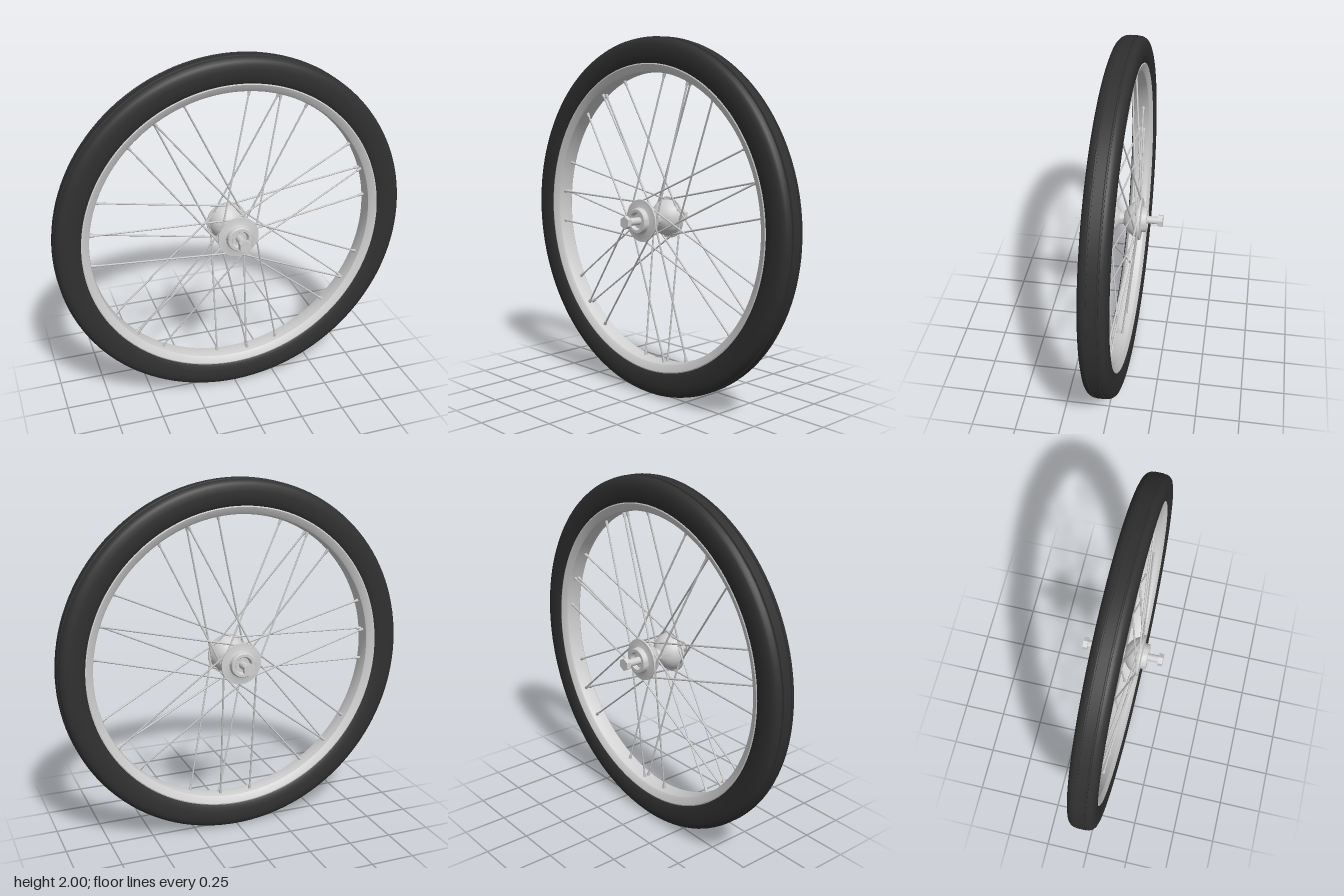
import * as THREE from 'three';
import { toCreasedNormals } from 'three/addons/utils/BufferGeometryUtils.js';

const mat = (name, color) => {
  const m = new THREE.MeshStandardMaterial({ color });
  m.name = name;
  return m;
};

// Spin [radius, z] points (counter-clockwise) around the z axis.
function spin(points, segments) {
  const geo = new THREE.LatheGeometry(points.map(([r, z]) => new THREE.Vector2(r, z)), segments);
  geo.rotateX(Math.PI / 2);
  return toCreasedNormals(geo, 0.6);
}

// Complete a profile, given for z >= 0 from outside to inside, with its mirror half.
const mirrored = (half) => [...half.map(([r, z]) => [r, -z]).reverse(), ...half];

export function createModel() {
  const rubber = mat('black rubber', 0x303030);
  const alloy = mat('light alloy', 0xd0d0d0);
  const steel = mat('spoke steel', 0xc8c8c8);

  const root = new THREE.Group();
  root.name = 'spokedWheel';
  const wheel = new THREE.Group();
  wheel.name = 'wheel';
  wheel.position.y = 1;
  root.add(wheel);
  const add = (name, geo, material, parent = wheel) => {
    const mesh = new THREE.Mesh(geo, material);
    mesh.name = name;
    parent.add(mesh);
    return mesh;
  };

  // Tyre with a centre rib, two shallow tread grooves and rounded shoulders
  add('tyre', spin(mirrored([
    [1, 0], [1, 0.024], [0.992, 0.026], [0.992, 0.033], [0.998, 0.035], [0.996, 0.044],
    [0.989, 0.057], [0.978, 0.067], [0.96, 0.073], [0.935, 0.076], [0.9, 0.074],
    [0.875, 0.069], [0.855, 0.06], [0.845, 0.05], [0.845, 0]
  ]), 128), rubber);

  // Rim with broad, slightly bevelled side faces
  add('rim', spin(mirrored([
    [0.858, 0], [0.858, 0.062], [0.852, 0.064], [0.818, 0.05], [0.812, 0.044],
    [0.808, 0.02], [0.808, 0]
  ]), 128), alloy);

  // Hub: a waisted barrel between two flared flanges with hollow bearing cups
  add('hub', spin(mirrored([
    [0.036, 0], [0.036, 0.012], [0.05, 0.02], [0.068, 0.032], [0.084, 0.048],
    [0.096, 0.066], [0.104, 0.086], [0.107, 0.097], [0.117, 0.098], [0.117, 0.108],
    [0.08, 0.11], [0.073, 0.113], [0.07, 0.138], [0.066, 0.142], [0.05, 0.142],
    [0.046, 0.136], [0.042, 0.12], [0.015, 0.12]
  ]), 48), alloy);

  // Axle with a hexagonal nut on each end
  add('axle', new THREE.CylinderGeometry(0.021, 0.021, 0.42, 24).rotateX(Math.PI / 2), alloy);
  for (const side of [1, -1]) {
    const nut = new THREE.CylinderGeometry(0.036, 0.036, 0.026, 6).toNonIndexed();
    nut.computeVertexNormals();
    nut.rotateX(Math.PI / 2);
    add(side > 0 ? 'frontNut' : 'backNut', nut, alloy).position.z = side * 0.214;
  }

  // A thin rod between two points
  const up = new THREE.Vector3(0, 1, 0);
  function rod(name, a, b, radiusA, radiusB, sides, material, parent) {
    const dir = b.clone().sub(a);
    const mesh = add(name, new THREE.CylinderGeometry(radiusB, radiusA, dir.length(), sides), material, parent);
    mesh.position.copy(a).add(b).multiplyScalar(0.5);
    mesh.quaternion.setFromUnitVectors(up, dir.normalize());
  }
  const polar = (r, angle, z) => new THREE.Vector3(r * Math.cos(angle), r * Math.sin(angle), z);

  // Spokes: seven groups of four, each leaving its flange at a tangent
  const spokes = new THREE.Group();
  spokes.name = 'spokes';
  wheel.add(spokes);
  const step = (Math.PI * 2) / 28;
  const lean = THREE.MathUtils.degToRad(80);
  for (let i = 0; i < 7; i++) {
    const centre = THREE.MathUtils.degToRad(70.7) + i * 4 * step;
    for (const side of [1, -1]) {
      for (const turn of [1, -1]) {
        const angle = centre + (turn === side ? side * step : 0);
        const hubAngle = angle + turn * lean;
        const hubEnd = polar(0.1, hubAngle, side * (turn > 0 ? 0.098 : 0.09));
        const rimEnd = polar(0.812, angle, side * 0.012);
        rod('spoke', hubEnd, rimEnd, 0.005, 0.005, 8, steel, spokes);
        rod('nipple', rimEnd.clone().lerp(hubEnd, 0.04), rimEnd, 0.007, 0.01, 8, steel, spokes);
        // Bent head seated in the inner face of the flange
        rod('spokeHead', polar(0.1, hubAngle, side * 0.084), polar(0.1, hubAngle, side * 0.102), 0.007, 0.007, 8, steel, spokes);
      }
    }
  }
  return root;
}
